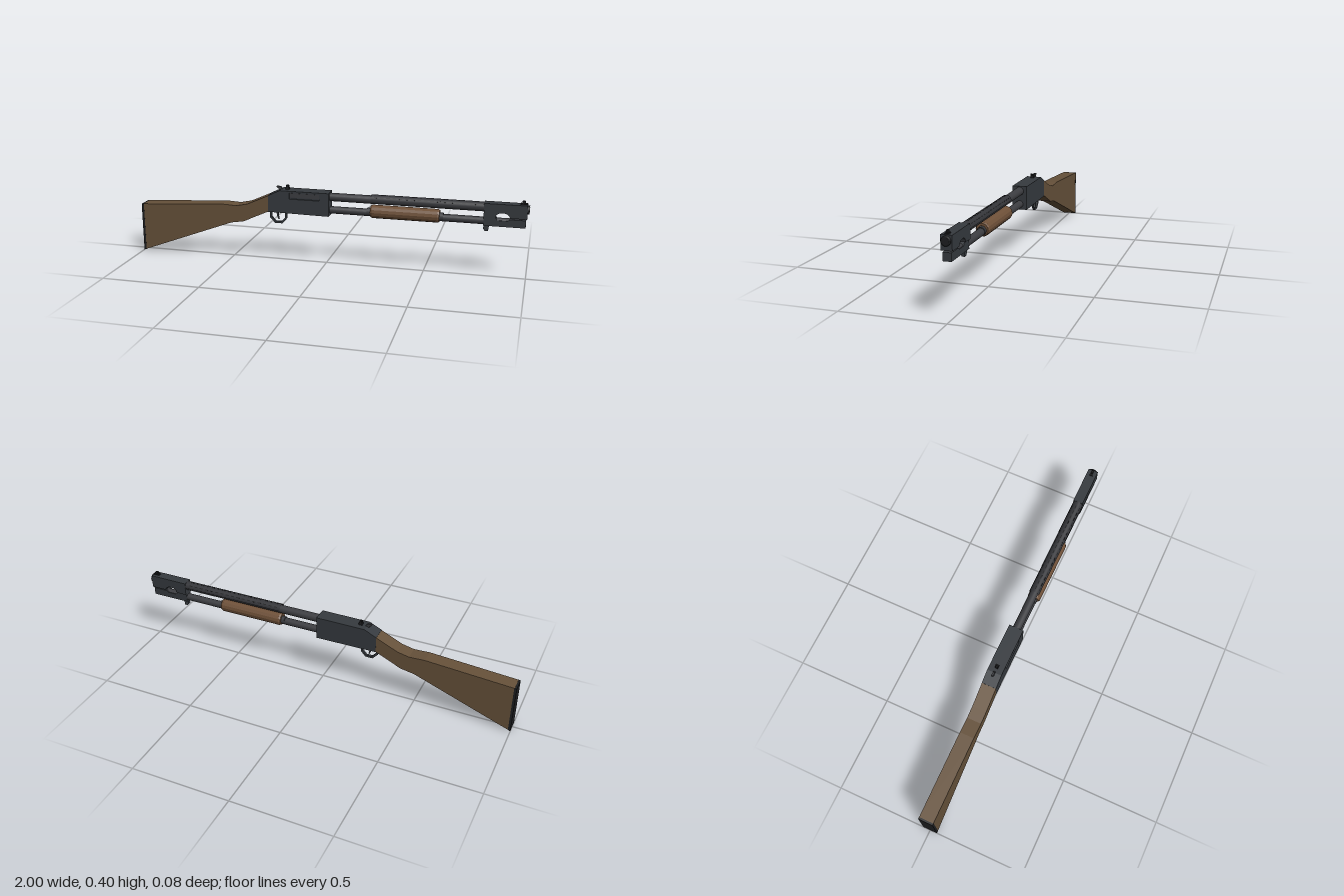
import * as THREE from 'three';

const mat = (color, extra = {}) => new THREE.MeshStandardMaterial({ color, ...extra });

export function createModel() {
  const group = new THREE.Group();
  const wood = mat(0x66513a), steel = mat(0x363a3f), barrelSteel = mat(0x3c3d41);
  const dark = mat(0x1d1e20), gripWood = mat(0x6e5038, { flatShading: true });
  const shieldSteel = mat(0x343539, { side: THREE.DoubleSide });

  const add = (name, geometry, material) => {
    const mesh = new THREE.Mesh(geometry, material);
    mesh.name = name;
    group.add(mesh);
    return mesh;
  };
  const box = (name, x0, x1, y0, y1, z0, z1, material) =>
    add(name, new THREE.BoxGeometry(x1 - x0, y1 - y0, z1 - z0), material)
      .position.set((x0 + x1) / 2, (y0 + y1) / 2, (z0 + z1) / 2);
  // Side profile in x/y, extruded from z0 to z1
  const plate = (name, points, z0, z1, material, holes = []) => {
    const toVec = (list) => list.map(([x, y]) => new THREE.Vector2(x, y));
    const shape = new THREE.Shape(toVec(points));
    for (const hole of holes) shape.holes.push(new THREE.Path(toVec(hole)));
    const geometry = new THREE.ExtrudeGeometry(shape, { depth: z1 - z0, bevelEnabled: false });
    return add(name, geometry.translate(0, 0, z0), material);
  };
  // Turned part along x from [x, radius] pairs
  const turned = (name, y, pairs, sides, material) => {
    const points = pairs.map(([x, r]) => new THREE.Vector2(r, -x));
    const geometry = new THREE.LatheGeometry(points.reverse(), sides).rotateZ(Math.PI / 2);
    add(name, geometry, material).position.y = y;
  };
  const rod = (name, x0, x1, y, r, material) => {
    const geometry = new THREE.CylinderGeometry(r, r, x1 - x0, 24).rotateZ(Math.PI / 2);
    add(name, geometry, material).position.set((x0 + x1) / 2, y, 0);
  };

  // Shoulder stock and butt pad
  plate('stock', [[-0.99, 0.004], [-0.5, 0.188], [-0.43, 0.2], [-0.37, 0.228], [-0.295, 0.262],
    [-0.295, 0.345], [-0.41, 0.293], [-0.47, 0.28], [-0.55, 0.284], [-0.99, 0.255]],
  -0.037, 0.037, wood);
  plate('buttPad', [[-1, 0], [-0.988, 0.004], [-0.988, 0.255], [-1, 0.254]], -0.0375, 0.0375, dark);

  // Receiver: solid core, with a front wall holding the ejection port
  const receiver = [[-0.298, 0.26], [0.02, 0.256], [0.02, 0.375], [-0.235, 0.375], [-0.298, 0.345]];
  const port = [[-0.185, 0.334], [-0.185, 0.366], [-0.03, 0.366], [-0.03, 0.334]];
  plate('receiver', receiver, -0.0375, 0.029, steel);
  plate('receiverWall', receiver, 0.029, 0.0375, steel, [port]);
  box('bolt', -0.184, -0.031, 0.342, 0.364, 0.028, 0.032, barrelSteel);
  box('loadingGate', -0.15, 0, 0.254, 0.262, -0.019, 0.019, dark);

  // Barrel, magazine tube and sliding grip
  rod('barrel', 0.01, 0.99, 0.35, 0.021, barrelSteel);
  rod('magazineTube', 0.01, 0.98, 0.283, 0.0185, barrelSteel);
  const bore = add('bore', new THREE.CircleGeometry(0.015, 24).rotateY(Math.PI / 2), dark);
  bore.position.set(0.9995, 0.35, 0);
  const muzzle = [[0.985, 0.0215], [0.999, 0.0215], [0.999, 0.015]];
  turned('muzzle', 0.35, muzzle, 24, dark);
  rod('gripSleeve', 0.21, 0.59, 0.286, 0.0205, barrelSteel);
  turned('slidingGrip', 0.29, [[0.228, 0.0185], [0.228, 0.029], [0.237, 0.0335],
    [0.563, 0.0335], [0.572, 0.029], [0.572, 0.0185]], 14, gripWood);

  // Vented heat shield wrapped over the barrel
  const shield = new THREE.CylinderGeometry(0.0262, 0.0262, 0.56, 18, 1, true, 0, Math.PI);
  add('heatShield', shield.rotateZ(Math.PI / 2), shieldSteel).position.set(0.51, 0.35, 0);
  for (let i = 0; i < 17; i++) {
    for (const angle of [-0.9, 0, 0.9]) {
      const slot = add('vent', new THREE.BoxGeometry(0.018, 0.001, 0.005), dark);
      slot.position.set(0.255 + i * 0.031, 0.35 + 0.0262 * Math.cos(angle), 0.0262 * Math.sin(angle));
      slot.rotation.x = angle;
    }
  }

  // Muzzle bracket: upper clamp with an arched cutout, lower arm round the tube
  const arch = [];
  for (let i = 0; i <= 8; i++) {
    const a = (i / 8) * Math.PI;
    arch.push([0.875 - 0.035 * Math.cos(a), 0.308 + 0.024 * Math.sin(a)]);
  }
  plate('muzzleClamp', [[0.785, 0.306], ...arch, [0.99, 0.308], [0.99, 0.375], [0.785, 0.375]],
    -0.0255, 0.0255, steel);
  plate('bracketArm', [[0.785, 0.262], [0.985, 0.262], [0.985, 0.3], [0.91, 0.3], [0.9, 0.292],
    [0.85, 0.292], [0.838, 0.31], [0.785, 0.31]], -0.0195, 0.0195, steel);
  plate('bracketLug', [[0.785, 0.265], [0.785, 0.242], [0.793, 0.232], [0.808, 0.232],
    [0.812, 0.265]], -0.008, 0.008, steel);

  // Trigger guard and trigger
  plate('triggerGuard', [[-0.298, 0.262], [-0.298, 0.222], [-0.272, 0.194], [-0.233, 0.194],
    [-0.208, 0.222], [-0.208, 0.262]], -0.006, 0.006, steel,
  [[[-0.288, 0.261], [-0.218, 0.261], [-0.218, 0.226], [-0.238, 0.204], [-0.268, 0.204], [-0.288, 0.226]]]);
  plate('trigger', [[-0.265, 0.264], [-0.262, 0.235], [-0.254, 0.214], [-0.249, 0.216],
    [-0.254, 0.238], [-0.25, 0.264]], -0.004, 0.004, steel);

  // Hammer and sights
  plate('hammer', [[-0.245, 0.36], [-0.25, 0.377], [-0.262, 0.386], [-0.258, 0.391],
    [-0.238, 0.388], [-0.225, 0.37]], -0.005, 0.005, barrelSteel);
  box('rearSightBase', -0.212, -0.194, 0.374, 0.386, -0.008, 0.008, dark);
  for (const side of [-1, 1]) {
    box('rearSightEar', -0.21, -0.197, 0.386, 0.397, side * 0.0055 - 0.0025, side * 0.0055 + 0.0025, dark);
  }
  box('frontSightBase', 0.955, 0.988, 0.374, 0.381, -0.008, 0.008, dark);
  box('frontSight', 0.963, 0.978, 0.38, 0.393, -0.004, 0.004, dark);

  return group;
}
